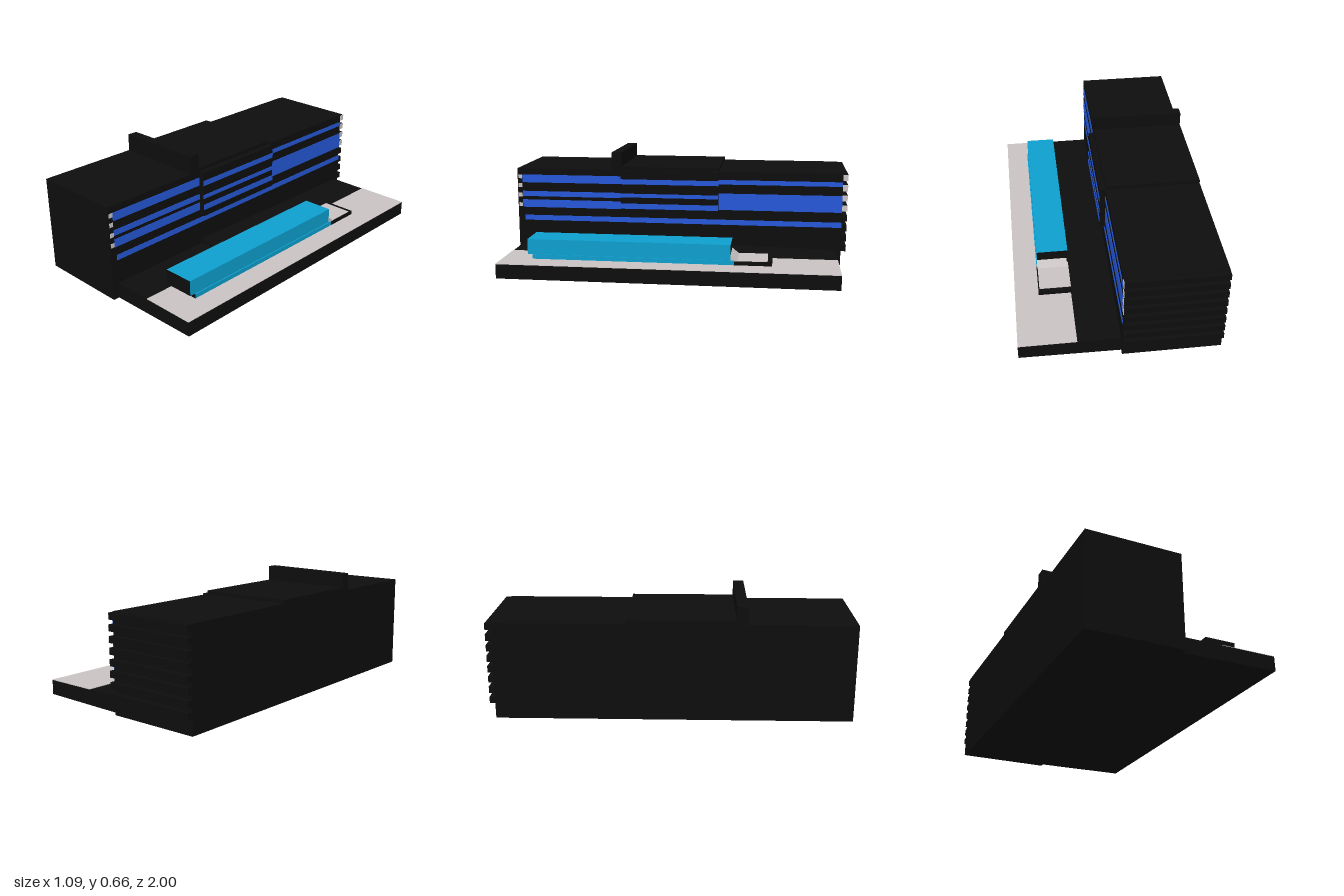
import * as THREE from 'three';

export function createModel() {
  const model = new THREE.Group();
  model.name = 'terminalBuilding';

  const mat = (name, color) => {
    const m = new THREE.MeshStandardMaterial({ color });
    m.name = name;
    return m;
  };
  const black = mat('black', 0x0d0d0d);
  const blue = mat('windowBlue', 0x2457d6);
  const cyan = mat('cyan', 0x0e9fce);
  const grey = mat('paleGrey', 0xc9c2c2);

  const add = (name, geometry, material) => {
    const mesh = new THREE.Mesh(geometry, material);
    mesh.name = name;
    model.add(mesh);
    return mesh;
  };
  // Box given by its limits on each axis
  const box = (name, material, x0, x1, y0, y1, z0, z1) => {
    const g = new THREE.BoxGeometry(x1 - x0, y1 - y0, z1 - z0);
    g.translate((x0 + x1) / 2, (y0 + y1) / 2, (z0 + z1) / 2);
    return add(name, g, material);
  };
  // Profile in x,y swept from z0 to z1
  const sweep = (points, z0, z1) => {
    const shape = new THREE.Shape(points.map(([x, y]) => new THREE.Vector2(x, y)));
    const g = new THREE.ExtrudeGeometry(shape, { depth: z1 - z0, bevelEnabled: false });
    g.translate(0, 0, z0);
    return g;
  };

  // Main block, raised middle and cross wall with a slightly sloping top
  const L = -0.545, R = -0.005;
  box('mainBlock', black, L, R, 0, 0.55, -0.97, 1);
  box('middleRoof', black, L, R, 0.55, 0.57, -0.24, 0.35);
  box('middleBay', black, R, 0.03, 0.28, 0.55, -0.24, 0.35);
  add('crossWall', sweep([[L, 0.5], [R, 0.5], [R, 0.656], [L, 0.65]], 0.35, 0.41), black);

  // Floor fins along the back wall, the upper four with pale ends
  for (let i = 0; i < 8; i++) {
    const y = 0.105 + i * 0.0605;
    box('backFin', black, L, R, y - 0.018, y + 0.018, -1, -0.97);
    if (i > 3) box('finEnd', grey, R, R + 0.003, y - 0.018, y + 0.018, -1, -0.97);
  }

  // Pale end plates at the front corner
  for (const y of [0.325, 0.385, 0.445, 0.5]) {
    box('cornerPlate', grey, R, R + 0.003, y - 0.012, y + 0.012, 0.972, 0.995);
  }

  // Window bands: [wall x, z start, z end, bands as bottom and top]
  const facades = [
    [R, 0.35, 0.97, [[0.31, 0.357], [0.378, 0.41], [0.464, 0.512]]],
    [0.03, -0.24, 0.35, [[0.32, 0.352], [0.39, 0.413], [0.47, 0.5]]],
    [R, -0.97, -0.24, [[0.32, 0.42], [0.475, 0.502]]],
    [R, -0.97, 0.96, [[0.229, 0.26]]],
  ];
  for (const [x, z0, z1, bands] of facades) {
    for (const [y0, y1] of bands) box('windowBand', blue, x, x + 0.003, y0, y1, z0, z1);
  }

  // Platform with a slightly rising underside and a pale paved strip
  add('platform', sweep([[R, 0], [0.14, 0.002], [0.545, 0.008], [0.545, 0.09], [R, 0.09]], -0.94, 0.965), black);
  box('paving', grey, 0.23, 0.545, 0.09, 0.093, -0.94, 0.965);

  // Sloping apron beside the building, dying away towards the back
  const apron = sweep([[R, 0.088], [0.15, 0.088], [0.15, 0.0905], [R, 0.12]], -0.94, 0.34);
  const p = apron.attributes.position;
  for (let i = 0; i < p.count; i++) {
    if (p.getZ(i) < -0.9 && p.getY(i) > 0.09) p.setY(i, 0.0905);
  }
  apron.computeVertexNormals();
  add('apron', apron, black);

  // Long low hall: side order is +x, -x, top, bottom, front, back
  const hall = [cyan, black, cyan, black, black, black];
  box('hallBase', hall, 0.235, 0.412, 0.09, 0.118, -0.36, 0.79);
  box('hallUpper', hall, 0.228, 0.406, 0.118, 0.206, -0.34, 0.82);

  // Pale terrace with black edging and a ramp up to the hall
  box('terrace', black, 0.228, 0.412, 0.09, 0.115, -0.57, -0.36);
  box('terraceTop', grey, 0.228, 0.406, 0.115, 0.118, -0.545, -0.34);
  const ramp = sweep([[0.34, 0.09], [0.34, 0.15], [0.4, 0.1], [0.4, 0.09]].map(([a, y]) => [a, y]).reverse(), 0.235, 0.408);
  // Turn the profile so that it runs towards -z
  ramp.rotateY(Math.PI / 2);
  add('hallRamp', ramp, grey);

  return model;
}
